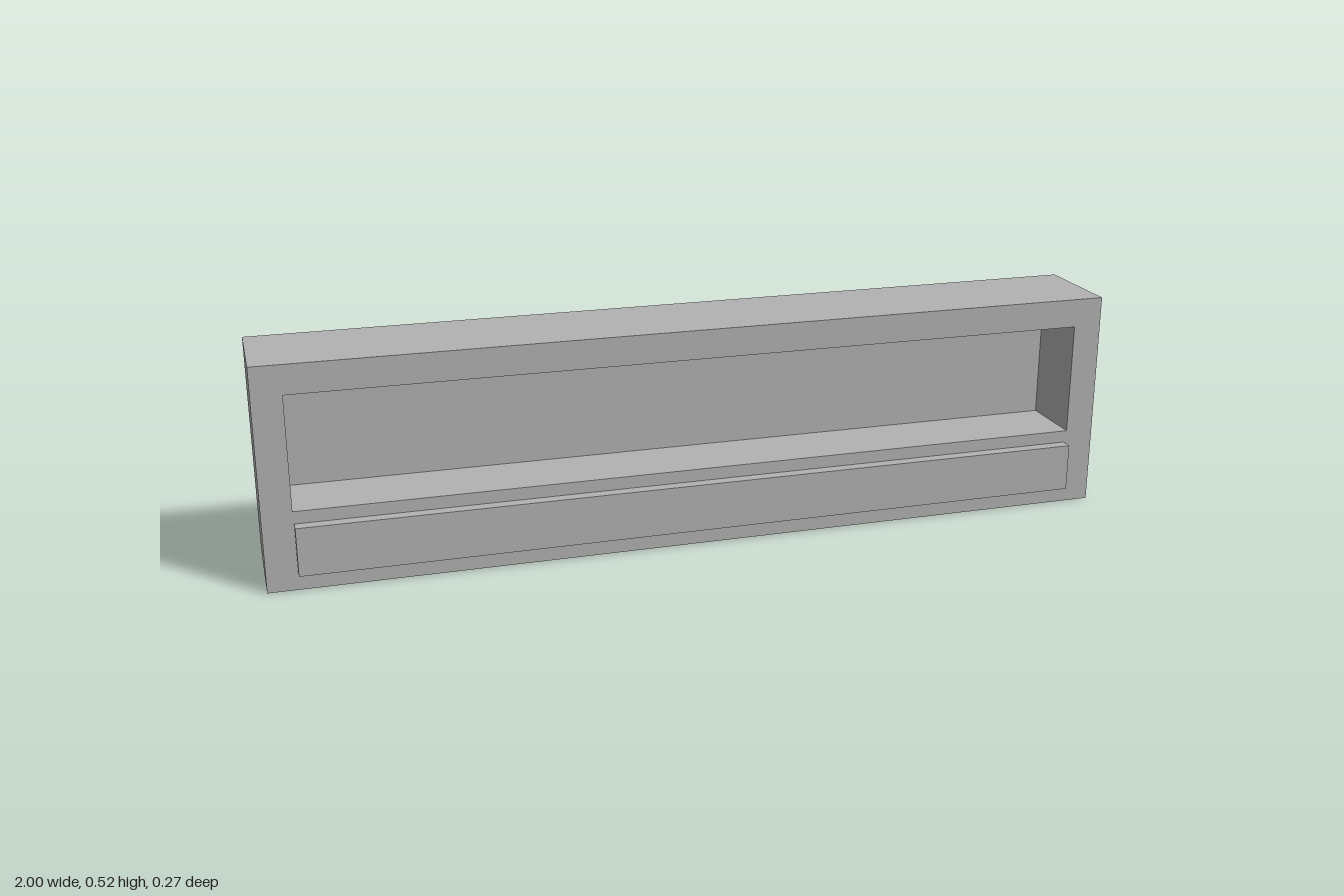
import * as THREE from 'three';

const W = 2, H = 0.518;                 // body width and height
const BACK = -0.133, FRONT = 0.105;     // body depth range
const FLOOR = -0.058;                   // depth of the recess back wall

export function createModel() {
  const group = new THREE.Group();
  const grey = new THREE.MeshStandardMaterial({ color: 0xb2b2b2 });
  grey.name = 'grey';

  const add = (name, geometry, x, y, z) => {
    const mesh = new THREE.Mesh(geometry, grey);
    mesh.name = name;
    mesh.position.set(x, y, z);
    group.add(mesh);
  };

  const rect = (Type, x0, y0, x1, y1) => {
    const path = new Type();
    path.moveTo(x0, y0).lineTo(x1, y0).lineTo(x1, y1).lineTo(x0, y1).closePath();
    return path;
  };

  // Front frame around the open recess
  const outline = rect(THREE.Shape, -W / 2, 0, W / 2, H);
  outline.holes.push(rect(THREE.Path, -0.932, 0.185, 0.932, 0.45));
  add('frontFrame', new THREE.ExtrudeGeometry(outline, { depth: FRONT - FLOOR, bevelEnabled: false }), 0, 0, FLOOR);

  // Solid rear slab, also the back wall of the recess
  add('backSlab', new THREE.BoxGeometry(W, H, FLOOR - BACK), 0, H / 2, (BACK + FLOOR) / 2);

  // Raised panel below the recess
  add('lowerPanel', new THREE.BoxGeometry(1.857, 0.113, 0.028), -0.002, 0.0995, FRONT + 0.014);

  return group;
}
